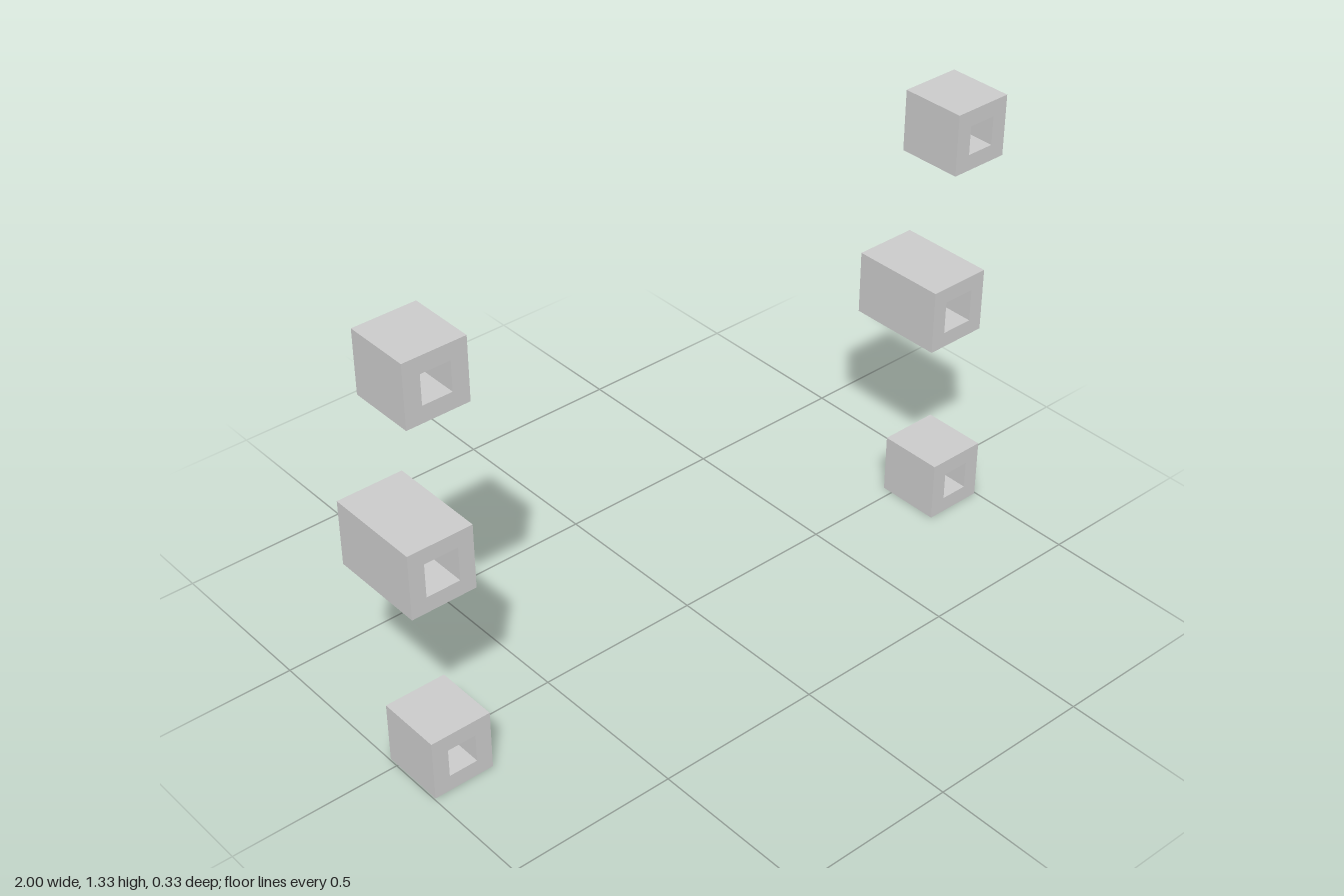
import * as THREE from 'three';

const material = new THREE.MeshStandardMaterial({ color: 0xcccccc, flatShading: true });

// Square tube running along z, centred on its cross-section
function squareTube(name, size, bore, zBack, zFront) {
  const h = size / 2, b = bore / 2;
  const shape = new THREE.Shape([
    new THREE.Vector2(-h, -h), new THREE.Vector2(h, -h),
    new THREE.Vector2(h, h), new THREE.Vector2(-h, h),
  ]);
  shape.holes.push(new THREE.Path([
    new THREE.Vector2(-b, -b), new THREE.Vector2(-b, b),
    new THREE.Vector2(b, b), new THREE.Vector2(b, -b),
  ]));
  const geometry = new THREE.ExtrudeGeometry(shape, { depth: zFront - zBack, bevelEnabled: false });
  geometry.translate(0, 0, zBack);
  const mesh = new THREE.Mesh(geometry, material);
  mesh.name = name;
  return mesh;
}

export function createModel() {
  const model = new THREE.Group();
  model.name = 'squareTubeSet';

  for (const [side, sign] of [['left', 1], ['right', -1]]) {
    // Short tubes at the bottom and top
    for (const [level, y] of [['Lower', 0.092], ['Upper', 1.242]]) {
      const tube = squareTube(`${side}${level}Tube`, 0.184, 0.087, -0.032, 0.165);
      tube.position.set(sign * 0.904, y, 0);
      model.add(tube);
    }
    // Longer, wider tube in the middle, set further back
    const middle = squareTube(`${side}MiddleTube`, 0.196, 0.102, -0.165, 0.13);
    middle.position.set(sign * 0.902, 0.667, 0);
    model.add(middle);
  }
  return model;
}
